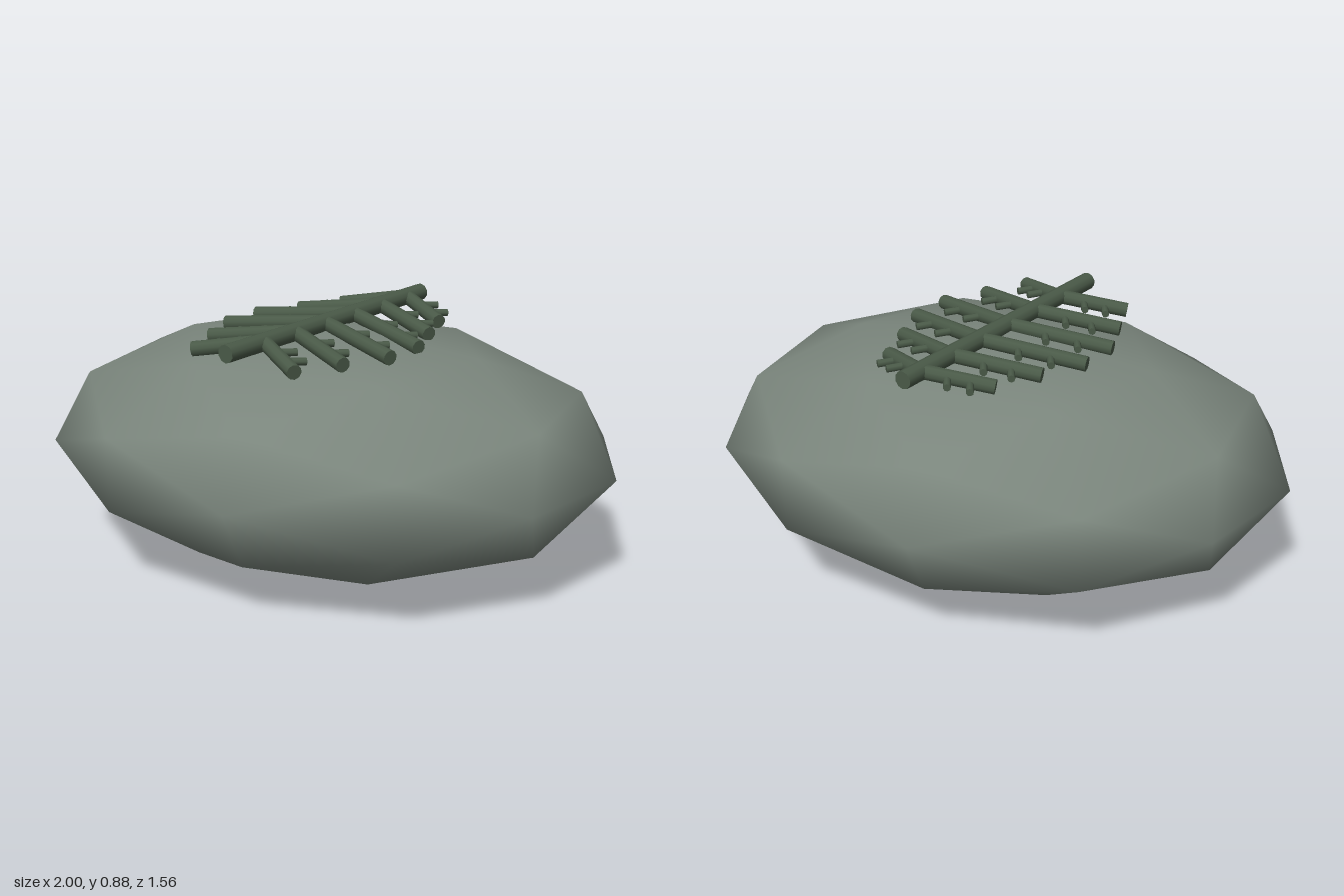
import * as THREE from 'three';

const stoneMat = new THREE.MeshStandardMaterial({ color: 0x7a857c });
const fernMat = new THREE.MeshStandardMaterial({ color: 0x4a5a48 });

// Cylinder running from point a to point b
function rod(name, a, b, radius, sides) {
  const dir = b.clone().sub(a);
  const mesh = new THREE.Mesh(new THREE.CylinderGeometry(radius, radius, dir.length(), sides), fernMat);
  mesh.position.copy(a).add(b).multiplyScalar(0.5);
  mesh.quaternion.setFromUnitVectors(new THREE.Vector3(0, 1, 0), dir.normalize());
  mesh.name = name;
  return mesh;
}

export function createModel() {
  const model = new THREE.Group();
  model.name = 'fossilStone';

  // Flattened pebble, turned slightly about the vertical
  const stone = new THREE.Mesh(new THREE.IcosahedronGeometry(1, 1), stoneMat);
  stone.name = 'stone';
  stone.scale.set(1.031, 0.42, 0.805);
  stone.rotation.y = 0.245;
  stone.position.y = 0.42;
  model.add(stone);

  // Fern frond lying on top
  const fern = new THREE.Group();
  fern.name = 'fernFrond';
  model.add(fern);
  const v = (x, y, z) => new THREE.Vector3(x, y, z);
  fern.add(rod('stem', v(0, 0.85, 0.538), v(0, 0.85, -0.538), 0.031, 10));

  // Paired leaflets, each with two small barbs on its rear edge
  [0.22, 0.29, 0.36, 0.36, 0.29, 0.22].forEach((reach, i) => {
    const z = -0.45 + 0.16 * i;
    for (const side of [1, -1]) {
      const root = v(0, 0.85, z);
      const tip = v(side * reach, 0.812, z + 0.11);
      fern.add(rod('leaflet', root, tip, 0.026, 10));
      for (const f of [0.36, 0.66]) {
        const base = root.clone().lerp(tip, f);
        const end = base.clone().add(v(side * 0.045, -0.004, -0.06));
        fern.add(rod('barb', base, end, 0.013, 8));
      }
    }
  });
  return model;
}
